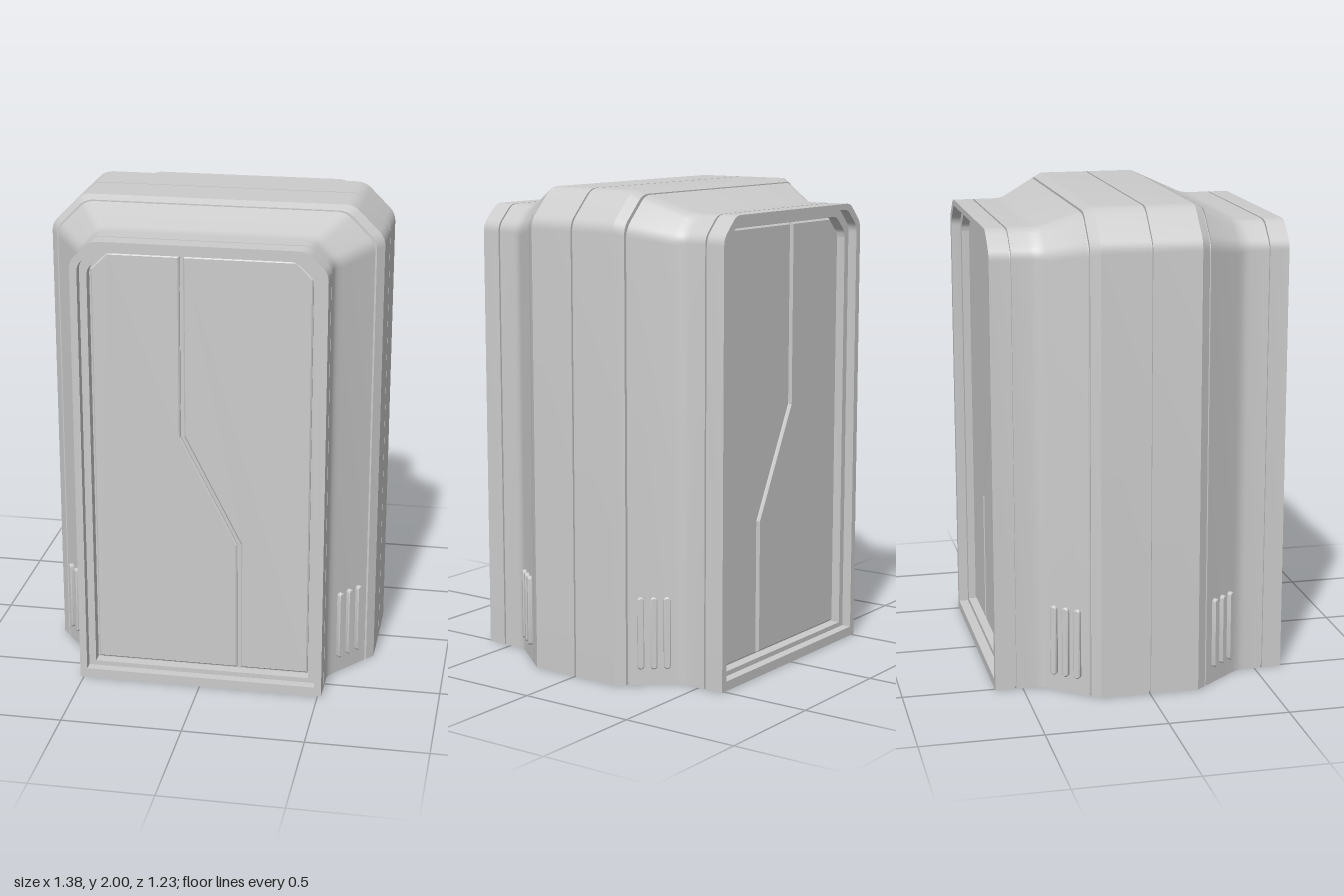
import * as THREE from 'three';
import { toCreasedNormals } from 'three/addons/utils/BufferGeometryUtils.js';

const material = new THREE.MeshStandardMaterial({ color: 0xcccccc });

// Upright outline with chamfered, softly rounded top corners
function outline(w, h, c, y0) {
  const r = Math.min(0.035, c * 0.35);
  const s = new THREE.Shape();
  const k = r * Math.SQRT1_2;
  s.moveTo(-w, y0);
  s.lineTo(w, y0);
  s.lineTo(w, h - c - r);
  s.quadraticCurveTo(w, h - c, w - k, h - c + k);
  s.lineTo(w - c + k, h - k);
  s.quadraticCurveTo(w - c, h, w - c - r, h);
  s.lineTo(-w + c + r, h);
  s.quadraticCurveTo(-w + c, h, -w + c - k, h - k);
  s.lineTo(-w + k, h - c + k);
  s.quadraticCurveTo(-w, h - c, -w, h - c - r);
  return s.getPoints(5);
}

// Half of the shell from the middle to the recessed door: z, half width, height, chamfer, base
function halfSections() {
  const list = [];
  const add = (z, w, h, c, y0 = 0) => list.push([z, w, h, c, y0]);
  const d = 0.01;
  const seam = (z, slopeW, slopeH, w, h, c) => {
    const g = 0.004;
    add(z - g, w + slopeW * g, h + slopeH * g, c);
    add(z - g, w - d, h - d, c, d);
    add(z + g, w - d, h - d, c, d);
    add(z + g, w - slopeW * g, h - slopeH * g, c);
  };
  add(0, 0.69 - d, 2 - d, 0.13, d);
  add(0.004, 0.69 - d, 2 - d, 0.13, d);
  add(0.004, 0.69, 2, 0.13);
  add(0.205, 0.69, 2, 0.13);
  seam(0.245, 0.8, 0.45, 0.658, 1.982, 0.122);
  add(0.39, 0.542, 1.917, 0.094);
  add(0.405, 0.531, 1.913, 0.09);
  add(0.42, 0.522, 1.911, 0.087);
  add(0.435, 0.517, 1.91, 0.085);
  add(0.45, 0.515, 1.91, 0.085);
  seam(0.53, 0, 0, 0.515, 1.91, 0.085);
  add(0.615, 0.515, 1.91, 0.085);
  // stepped door recess
  add(0.615, 0.485, 1.885, 0.075, 0.04);
  add(0.575, 0.485, 1.885, 0.075, 0.04);
  add(0.575, 0.455, 1.855, 0.07, 0.06);
  add(0.53, 0.455, 1.855, 0.07, 0.06);
  return list;
}

function shellGeometry() {
  const half = halfSections();
  const back = half.slice(1).reverse().map(([z, ...rest]) => [-z, ...rest]);
  const sections = [...back, ...half];
  const pos = [], idx = [];
  let n = 0;
  for (const [z, ...dims] of sections) {
    const pts = outline(...dims);
    n = pts.length;
    for (const p of pts) pos.push(p.x, p.y, z);
  }
  const last = (sections.length - 1) * n;
  for (let i = 0; i < sections.length - 1; i++) {
    for (let j = 0; j < n; j++) {
      const a = i * n + j, b = i * n + (j + 1) % n;
      idx.push(a, b, b + n, a, b + n, a + n);
    }
  }
  for (let j = 1; j < n - 1; j++) {
    idx.push(last, last + j, last + j + 1);
    idx.push(0, j + 1, j);
  }
  const g = new THREE.BufferGeometry();
  g.setAttribute('position', new THREE.Float32BufferAttribute(pos, 3));
  g.setIndex(idx);
  return toCreasedNormals(g, 0.4);
}

// Door leaf on one side of the bent split line
function leafGeometry(side) {
  const w = 0.447, top = 1.847, base = 0.068, c = 0.067, gap = 0.008 * side;
  const bend = gap * 0.25; // keeps the gap even along the slanted run
  const pts = [
    [-0.08 + gap, top], [-0.08 + gap, 1.09 + bend],
    [0.155 + gap, 0.63 + bend], [0.155 + gap, base],
    [w * side, base], [w * side, top - c], [(w - c) * side, top],
  ].map(([x, y]) => new THREE.Vector2(x, y));
  const g = new THREE.ExtrudeGeometry(new THREE.Shape(pts), {
    depth: 0.012, bevelThickness: 0.006, bevelSize: 0.006, bevelOffset: -0.006, bevelSegments: 1,
  });
  return g.translate(0, 0, -0.006);
}

// Raised vent rib with rounded ends
function ribGeometry() {
  const r = 0.014, half = 0.15 - r;
  const s = new THREE.Shape();
  s.absarc(0, half, r, 0, Math.PI, false);
  s.absarc(0, -half, r, Math.PI, Math.PI * 2, false);
  const g = new THREE.ExtrudeGeometry(s, {
    depth: 0.026, bevelThickness: 0.004, bevelSize: 0.004, bevelOffset: -0.004,
    bevelSegments: 1, curveSegments: 10,
  });
  return toCreasedNormals(g.translate(0, 0, -0.013), 0.5);
}

export function createModel() {
  const model = new THREE.Group();
  model.name = 'airlock';
  const add = (geometry, name, parent = model) => {
    const mesh = new THREE.Mesh(geometry, material);
    mesh.name = name;
    parent.add(mesh);
    return mesh;
  };

  add(shellGeometry(), 'shell');

  // Split doors at both ends
  const leaves = [[leafGeometry(-1), 'rightDoorLeaf'], [leafGeometry(1), 'leftDoorLeaf']];
  for (const [end, z] of [['front', 0.533], ['back', -0.533]]) {
    const door = new THREE.Group();
    door.name = end + 'Door';
    door.position.z = z;
    for (const [g, name] of leaves) add(g, name, door);
    model.add(door);
  }

  // Three vent ribs low on each sloping corner
  const rib = ribGeometry();
  for (const sx of [-1, 1]) {
    for (const sz of [-1, 1]) {
      const vents = new THREE.Group();
      vents.name = (sz > 0 ? 'front' : 'back') + (sx > 0 ? 'Left' : 'Right') + 'Vents';
      for (const z of [0.288, 0.33, 0.372]) {
        const m = add(rib, 'ventRib', vents);
        m.position.set(sx * (0.69 - 0.8 * (z - 0.205)), 0.22, sz * z);
        m.rotation.y = Math.atan2(sx, sz * 0.8);
      }
      model.add(vents);
    }
  }
  return model;
}
